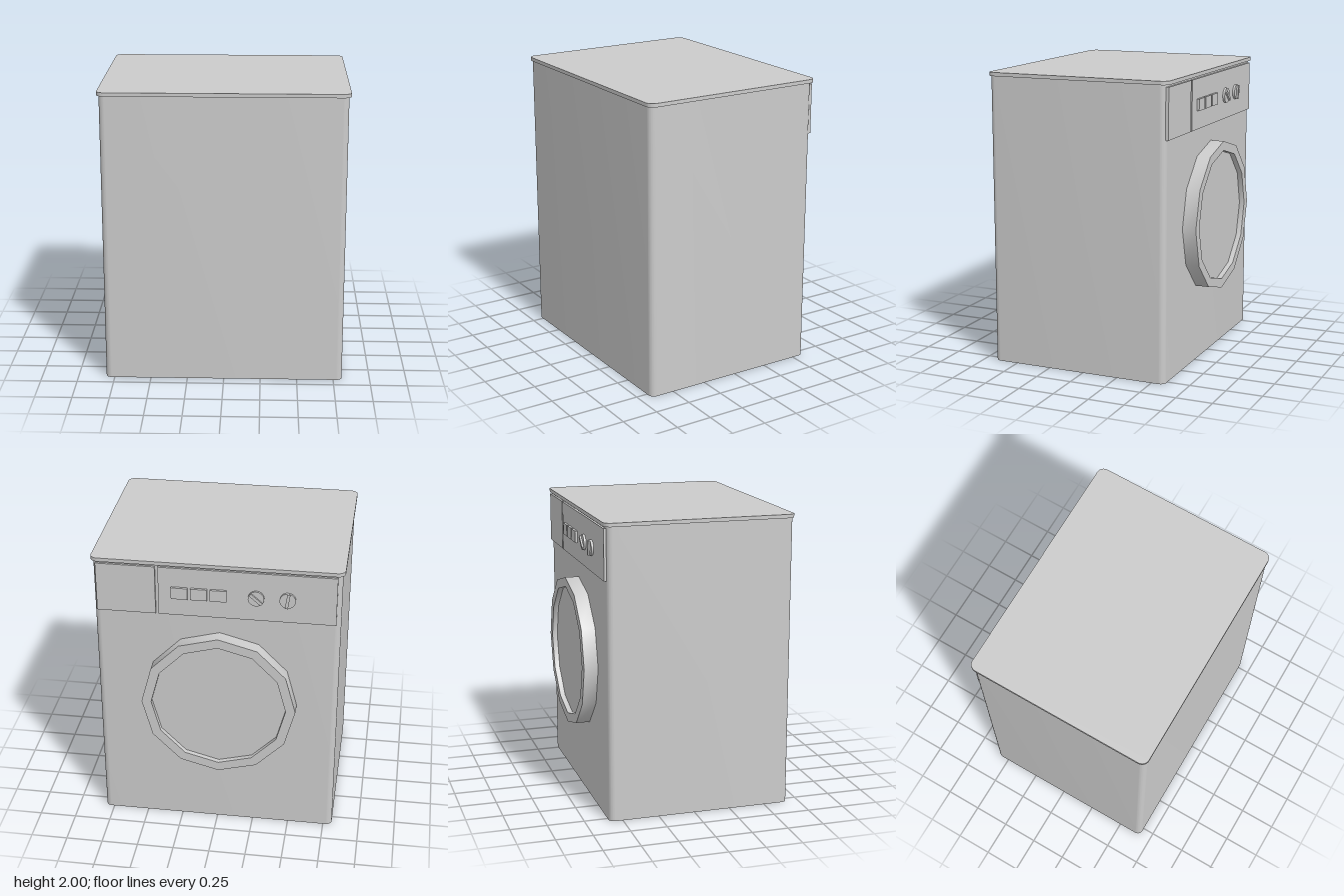
import * as THREE from 'three';
import { toCreasedNormals } from 'three/addons/utils/BufferGeometryUtils.js';

const material = new THREE.MeshStandardMaterial({ color: 0xcccccc });

function add(parent, name, geometry, x = 0, y = 0, z = 0) {
  const mesh = new THREE.Mesh(geometry, material);
  mesh.name = name;
  mesh.position.set(x, y, z);
  parent.add(mesh);
  return mesh;
}

// Upright slab with rounded vertical corners, standing on y = 0
function roundedSlab(width, depth, height, r) {
  const x = width / 2, y = depth / 2;
  const shape = new THREE.Shape();
  shape.absarc(x - r, y - r, r, 0, Math.PI / 2);
  shape.absarc(-x + r, y - r, r, Math.PI / 2, Math.PI);
  shape.absarc(-x + r, -y + r, r, Math.PI, Math.PI * 1.5);
  shape.absarc(x - r, -y + r, r, Math.PI * 1.5, Math.PI * 2);
  shape.closePath();
  const geometry = new THREE.ExtrudeGeometry(shape, { depth: height, bevelEnabled: false, curveSegments: 6 });
  return toCreasedNormals(geometry.rotateX(-Math.PI / 2), 0.6);
}

// Box given by its x and y ranges, reaching from the cabinet face out to z
function facePlate(parent, name, x0, x1, y0, y1, zOut, zIn = -0.58) {
  return add(parent, name, new THREE.BoxGeometry(x1 - x0, y1 - y0, zIn - zOut),
    (x0 + x1) / 2, (y0 + y1) / 2, (zIn + zOut) / 2);
}

export function createModel() {
  const group = new THREE.Group();
  group.name = 'washingMachine';

  // Cabinet and overhanging lid
  add(group, 'cabinet', roundedSlab(1.62, 1.26, 1.975, 0.04), 0, 0, 0.04);
  add(group, 'lid', roundedSlab(1.65, 1.29, 0.025, 0.05), 0, 1.975, 0.035);

  // Detergent drawer and control panel
  facePlate(group, 'detergentDrawer', 0.4, 0.79, 1.62, 1.96, -0.605);
  facePlate(group, 'controlPanel', -0.78, 0.38, 1.62, 1.96, -0.605);

  // Row of push buttons
  for (const x of [-0.015, 0.113, 0.24]) {
    facePlate(group, 'pushButton', x - 0.054, x + 0.054, 1.745, 1.825, -0.622);
  }

  // Two dials, each with a grip ridge
  for (const [x, angle] of [[-0.26, -0.85], [-0.465, 0.15]]) {
    const dial = new THREE.Group();
    dial.name = 'dial';
    dial.position.set(x, 1.783, -0.605);
    dial.rotation.z = angle;
    add(dial, 'dialDisc', new THREE.CylinderGeometry(0.053, 0.053, 0.03, 16).rotateX(Math.PI / 2));
    add(dial, 'dialGrip', new THREE.BoxGeometry(0.02, 0.1, 0.02), 0, 0, -0.017);
    group.add(dial);
  }

  // Twelve-sided door: outer wall, rim, recessed glass
  const profile = [[0.52, 0], [0.52, 0.105], [0.455, 0.105], [0.455, 0.07], [0, 0.07]]
    .map(([r, h]) => new THREE.Vector2(r, h));
  const door = toCreasedNormals(new THREE.LatheGeometry(profile, 12), 0.8);
  add(group, 'door', door.rotateX(-Math.PI / 2), -0.02, 0.98, -0.58);

  return group;
}
